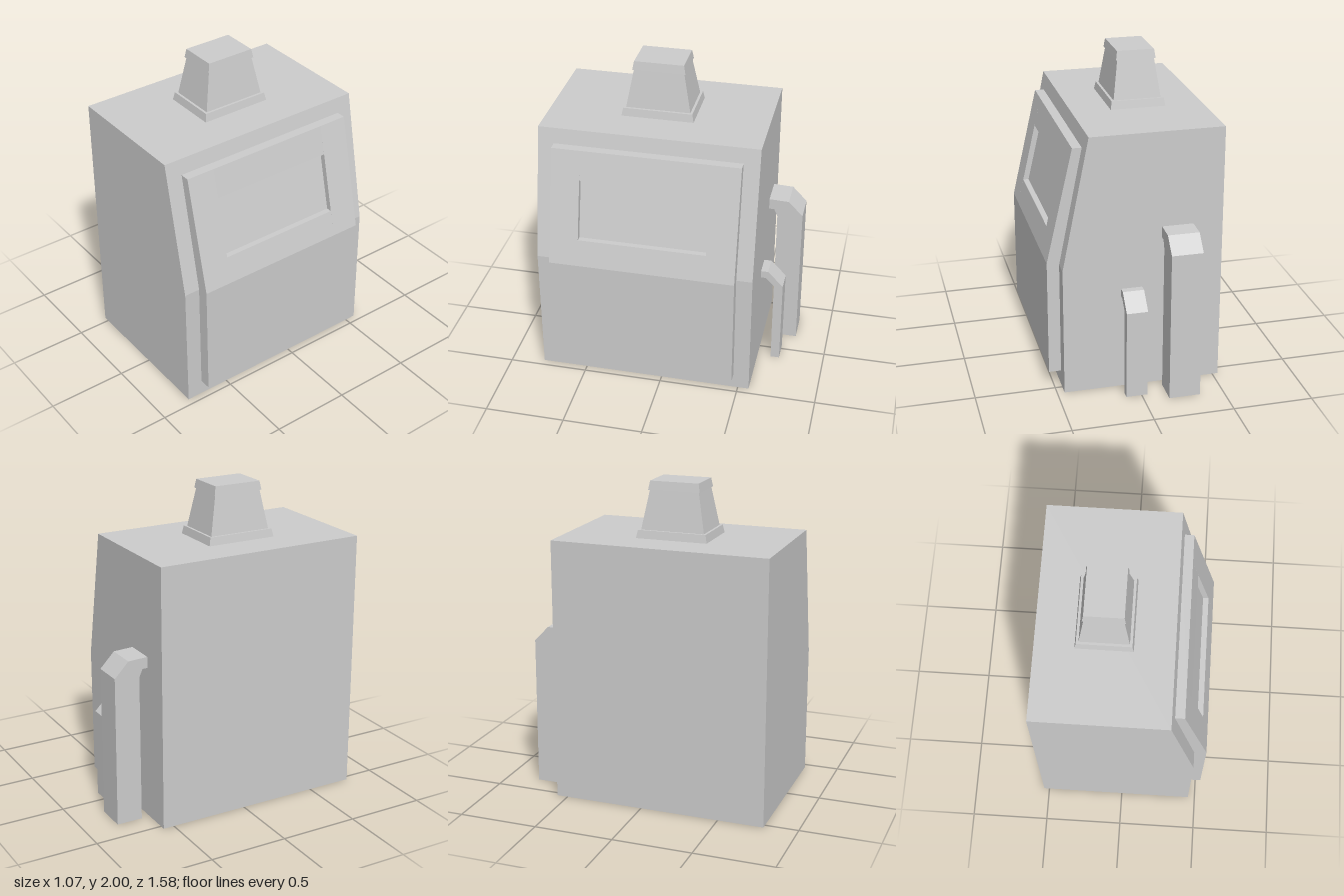
import * as THREE from 'three';

export function createModel() {
  const model = new THREE.Group();
  const grey = new THREE.MeshStandardMaterial({ color: 0xcccccc });
  grey.name = 'grey';
  const openGrey = new THREE.MeshStandardMaterial({ color: 0xcccccc, side: THREE.DoubleSide });
  openGrey.name = 'grey open';

  function add(parent, name, geometry, material = grey) {
    const mesh = new THREE.Mesh(geometry, material);
    mesh.name = name;
    parent.add(mesh);
  }

  // Side profile in x, y swept from z0 to z1
  function sweep(points, z0, z1) {
    const shape = new THREE.Shape(points.map(([x, y]) => new THREE.Vector2(x, y)));
    return new THREE.ExtrudeGeometry(shape, { depth: z1 - z0, bevelEnabled: false }).translate(0, 0, z0);
  }

  // Box whose top is resized: w, d below and tw, td above
  function taper(w, d, tw, td, y0, y1) {
    const geo = new THREE.BoxGeometry(w, y1 - y0, d);
    const p = geo.attributes.position;
    for (let i = 0; i < p.count; i++) {
      if (p.getY(i) > 0) p.setXYZ(i, p.getX(i) * tw / w, p.getY(i), p.getZ(i) * td / d);
    }
    const flat = geo.translate(-0.124, (y0 + y1) / 2, 0.11).toNonIndexed();
    flat.computeVertexNormals();
    return flat;
  }

  // Rectangular duct, open at its ends, from outer and inner z, y paths
  function duct(x0, x1, outer, inner) {
    const loops = outer.map(([z, y], i) => [
      [x1, y, z], [x0, y, z],
      [x0, inner[i][1], inner[i][0]], [x1, inner[i][1], inner[i][0]],
    ]);
    const verts = [];
    for (let j = 0; j < loops.length - 1; j++) {
      for (let k = 0; k < 4; k++) {
        const n = (k + 1) % 4;
        const a = loops[j][k], b = loops[j][n], c = loops[j + 1][k], d = loops[j + 1][n];
        verts.push(...a, ...c, ...b, ...b, ...c, ...d);
      }
    }
    const geo = new THREE.BufferGeometry();
    geo.setAttribute('position', new THREE.Float32BufferAttribute(verts, 3));
    geo.computeVertexNormals();
    return geo;
  }

  // Cabinet with a sloped upper face
  add(model, 'cabinet', sweep([[-0.535, 0], [0.455, 0], [0.455, 0.825], [0.29, 1.655], [-0.535, 1.655]], -0.57, 0.79));

  // Raised panel, with a shallow recess between its two side strips
  const panel = new THREE.Group();
  panel.name = 'panel';
  model.add(panel);
  const lower = [[0.44, 0.1], [0.531, 0.1], [0.531, 0.84]];
  const upper = [[0.367, 1.56], [0.3, 1.56], [0.44, 0.825]];
  const recess = [[0.493, 1.005], [0.458, 1.005], [0.374, 1.37], [0.408, 1.378]];
  add(panel, 'panelStripFront', sweep([...lower, ...upper], 0.51, 0.69));
  add(panel, 'panelStripBack', sweep([...lower, ...upper], -0.47, -0.287));
  add(panel, 'panelRecess', sweep([...lower, ...recess, ...upper], -0.287, 0.51));

  // Chimney on the roof
  const chimney = new THREE.Group();
  chimney.name = 'chimney';
  model.add(chimney);
  add(chimney, 'chimneyBase', taper(0.345, 0.45, 0.328, 0.43, 1.655, 1.705));
  add(chimney, 'chimneyShaft', taper(0.297, 0.4, 0.23, 0.31, 1.705, 1.945));
  add(chimney, 'chimneyCap', taper(0.248, 0.327, 0.232, 0.307, 1.945, 2));

  // Ducts running down the back
  add(model, 'largeDuct', duct(-0.35, -0.155,
    [[-0.57, 1.055], [-0.695, 1.05], [-0.786, 0.955], [-0.79, 0]],
    [[-0.57, 0.985], [-0.603, 0.985], [-0.625, 0.935], [-0.625, 0]]), openGrey);
  add(model, 'smallDuct', duct(-0.035, 0.097,
    [[-0.57, 0.67], [-0.615, 0.67], [-0.713, 0.57], [-0.713, 0]],
    [[-0.57, 0.622], [-0.6, 0.622], [-0.657, 0.565], [-0.657, 0]]), openGrey);

  return model;
}
